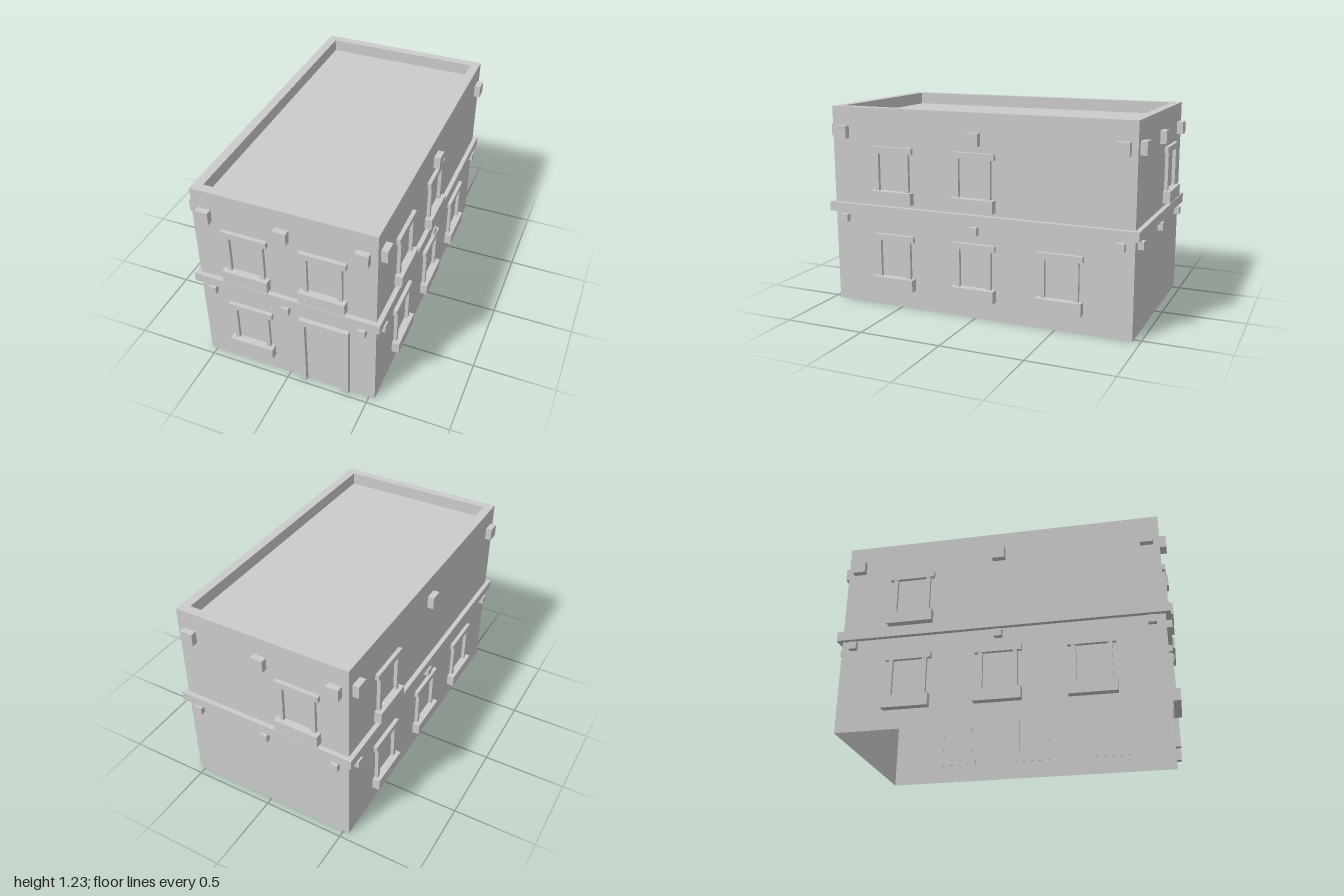
import * as THREE from 'three';

const W = 0.535, D = 0.955, TOP = 1.225;
const material = new THREE.MeshStandardMaterial({ color: 0xcccccc, flatShading: true });
const shellMaterial = new THREE.MeshStandardMaterial({ color: 0xcccccc, flatShading: true, side: THREE.DoubleSide });

// Box given by its extents
function box(parent, name, x0, x1, y0, y1, z0, z1) {
  const mesh = new THREE.Mesh(new THREE.BoxGeometry(x1 - x0, y1 - y0, z1 - z0), material);
  mesh.position.set((x0 + x1) / 2, (y0 + y1) / 2, (z0 + z1) / 2);
  mesh.name = name;
  parent.add(mesh);
}

// Open-bottomed shell: outer walls, parapet rim, inner parapet and sunken roof
function buildShell() {
  const loops = [[W, D, 0], [W, D, TOP], [0.48, 0.9, TOP], [0.48, 0.9, 1.15]];
  const corners = [[1, 1], [1, -1], [-1, -1], [-1, 1]];
  const at = (l, c) => [corners[c % 4][0] * l[0], l[2], corners[c % 4][1] * l[1]];
  const positions = [];
  const quad = (a, b, c, d) => positions.push(...a, ...b, ...c, ...a, ...c, ...d);
  for (let i = 0; i < loops.length - 1; i++) {
    for (let c = 0; c < 4; c++) {
      quad(at(loops[i], c), at(loops[i], c + 1), at(loops[i + 1], c + 1), at(loops[i + 1], c));
    }
  }
  const roof = loops[3];
  quad(at(roof, 0), at(roof, 1), at(roof, 2), at(roof, 3));
  const geometry = new THREE.BufferGeometry();
  geometry.setAttribute('position', new THREE.Float32BufferAttribute(positions, 3));
  geometry.computeVertexNormals();
  const mesh = new THREE.Mesh(geometry, shellMaterial);
  mesh.name = 'wallsAndRoof';
  return mesh;
}

// Band running round the building between the storeys
function buildLedge() {
  const rect = (Path, w, d) => new Path().moveTo(-w, -d).lineTo(w, -d).lineTo(w, d).lineTo(-w, d).closePath();
  const shape = rect(THREE.Shape, W + 0.028, D + 0.028);
  shape.holes.push(rect(THREE.Path, W - 0.028, D - 0.028));
  const geometry = new THREE.ExtrudeGeometry(shape, { depth: 0.057, bevelEnabled: false });
  geometry.rotateX(-Math.PI / 2);
  const mesh = new THREE.Mesh(geometry, material);
  mesh.position.y = 0.575;
  mesh.name = 'ledge';
  return mesh;
}

// Window surround: sill, two jambs and a lintel on the wall plane z = 0
function addWindow(wall, u, storey) {
  const win = new THREE.Group();
  win.name = 'window';
  win.position.set(u, storey ? 0.655 : 0.117, 0);
  box(win, 'sill', -0.137, 0.137, 0, 0.074, -0.003, 0.045);
  for (const s of [-1, 1]) {
    box(win, 'jamb', s * 0.1015 - 0.0125, s * 0.1015 + 0.0125, 0.074, 0.304, -0.003, 0.021);
  }
  box(win, 'lintel', -0.137, 0.137, 0.304, 0.341, -0.003, 0.023);
  wall.add(win);
}

function addDoorFrame(wall) {
  const door = new THREE.Group();
  door.name = 'doorFrame';
  box(door, 'doorJamb', 0.08, 0.114, 0, 0.46, -0.003, 0.028);
  box(door, 'doorJamb', 0.346, 0.38, 0, 0.46, -0.003, 0.028);
  box(door, 'doorLintel', 0.08, 0.38, 0.46, 0.498, -0.003, 0.028);
  wall.add(door);
}

export function createModel() {
  const model = new THREE.Group();
  model.name = 'building';
  model.add(buildShell(), buildLedge());

  // Each wall: turn about y, distance out, corbel spacing, window positions along the wall
  const walls = [
    { name: 'frontWallTrim', turn: 0, out: D, spacing: 0.457, lower: [-0.228], upper: [-0.228, 0.23] },
    { name: 'leftWallTrim', turn: Math.PI / 2, out: W, spacing: 0.88, lower: [-0.54, -0.005, 0.53], upper: [-0.54, -0.005] },
    { name: 'backWallTrim', turn: Math.PI, out: D, spacing: 0.457, lower: [], upper: [0.228] },
    { name: 'rightWallTrim', turn: -Math.PI / 2, out: W, spacing: 0.88, lower: [-0.535, 0, 0.535], upper: [-0.535] },
  ];
  for (const { name, turn, out, spacing, lower, upper } of walls) {
    const wall = new THREE.Group();
    wall.name = name;
    wall.rotation.y = turn;
    wall.position.set(Math.sin(turn) * out, 0, Math.cos(turn) * out);
    lower.forEach((u) => addWindow(wall, u, 0));
    upper.forEach((u) => addWindow(wall, u, 1));
    // Beam ends passing through the wall
    for (const u of [-spacing, 0, spacing]) {
      box(wall, 'upperBeamEnd', u - 0.038, u + 0.038, 1.035, 1.111, -0.038, 0.038);
      box(wall, 'lowerBeamEnd', u - 0.023, u + 0.023, 0.514, 0.56, -0.033, 0.033);
    }
    if (turn === 0) addDoorFrame(wall);
    model.add(wall);
  }
  return model;
}
